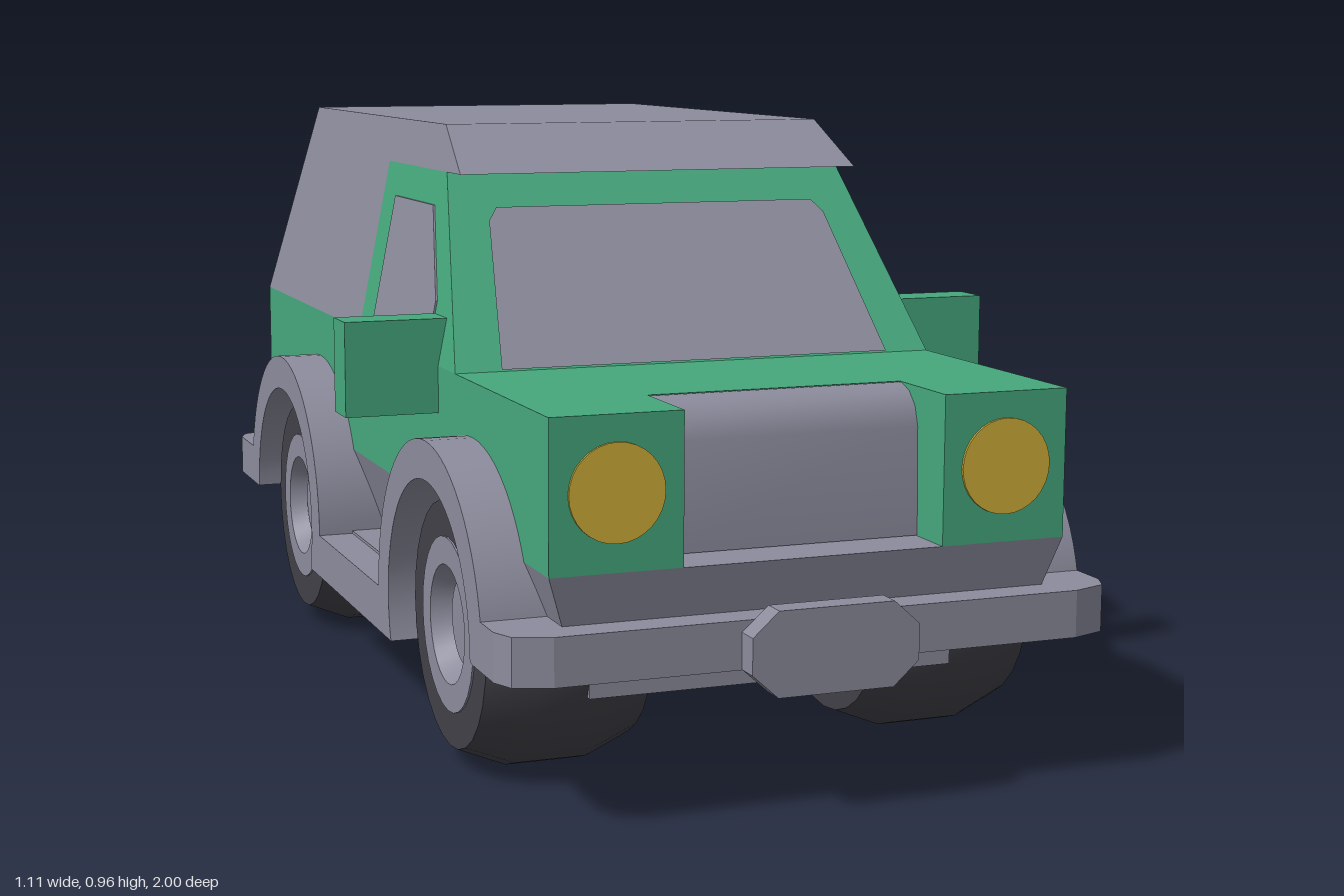
import * as THREE from 'three';
import { toCreasedNormals } from 'three/addons/utils/BufferGeometryUtils.js';

const material = (name, color) => {
  const m = new THREE.MeshStandardMaterial({ color });
  m.name = name;
  return m;
};

export function createModel() {
  const green = material('green paint', 0x46a87d);
  const grey = material('grey trim', 0x8c8c9d);
  const rubber = material('dark rubber', 0x424148);
  const yellow = material('yellow lamp', 0xd2af38);
  const red = material('red lamp', 0xb5453a);

  const car = new THREE.Group();
  car.name = 'offRoadCar';
  const add = (name, geometry, mat, parent = car) => {
    const mesh = new THREE.Mesh(geometry, mat);
    mesh.name = name;
    parent.add(mesh);
    return mesh;
  };
  const shapeOf = (pts) => new THREE.Shape(pts.map(([a, b]) => new THREE.Vector2(a, b)));

  // Box given by its limits
  const box = (x0, x1, y0, y1, z0, z1) =>
    new THREE.BoxGeometry(x1 - x0, y1 - y0, z1 - z0)
      .translate((x0 + x1) / 2, (y0 + y1) / 2, (z0 + z1) / 2);

  // Side outline of [z, y] points, swept across the car to a half width that depends on y
  const prism = (pts, halfWidth) => {
    const g = new THREE.ExtrudeGeometry(shapeOf(pts), { depth: 1, bevelEnabled: false });
    g.rotateY(-Math.PI / 2).translate(0.5, 0, 0);
    const p = g.attributes.position;
    for (let i = 0; i < p.count; i++) p.setX(i, Math.sign(p.getX(i)) * halfWidth(p.getY(i)));
    g.computeVertexNormals();
    return g;
  };
  const cabinWidth = (y) => 0.405 - (y - 0.595) * 0.2;
  const lowerWidth = (y) => 0.405 - (0.37 - y) * 0.33;

  // Body, with a notch at the front for the grille
  add('body', box(-0.405, 0.405, 0.37, 0.595, -0.85, 0.78), green);
  add('lowerBody', prism([[0.925, 0.37], [0.895, 0.225], [-0.82, 0.225], [-0.85, 0.37]], lowerWidth), grey);
  const grille = prism([[0.7, 0.594], [0.785, 0.594], [0.81, 0.585], [0.83, 0.565],
    [0.84, 0.535], [0.845, 0.371], [0.7, 0.371]], () => 0.204);
  add('grille', toCreasedNormals(grille, 0.7), grey);

  // Cabin and roof
  add('cabinFrame', prism([[0.48, 0.595], [0.245, 0.89], [-0.11, 0.89], [-0.11, 0.595]], cabinWidth), green);
  add('roof', prism([[-0.11, 0.595], [-0.11, 0.89], [0.32, 0.89], [0.19, 0.965],
    [-0.7, 0.965], [-0.85, 0.595]], cabinWidth), grey);
  add('sideWindows', prism([[0.32, 0.6], [0.32, 0.69], [0.21, 0.835], [-0.025, 0.835], [-0.025, 0.6]],
    (y) => cabinWidth(y) + 0.003), grey);

  // Windscreen laid on the sloping front of the cabin
  const glass = new THREE.ShapeGeometry(shapeOf([[-0.33, 0.598], [0.33, 0.598], [0.295, 0.815],
    [0.278, 0.835], [-0.278, 0.835], [-0.295, 0.815]]));
  const gp = glass.attributes.position;
  for (let i = 0; i < gp.count; i++) gp.setZ(i, 0.484 - (gp.getY(i) - 0.595) * 0.797);
  glass.computeVertexNormals();
  add('windscreen', glass, grey);

  // Chassis
  add('chassis', box(-0.295, 0.295, 0.15, 0.24, -0.63, 0.785), grey);
  add('floor', box(-0.42, 0.42, 0.15, 0.23, -0.19, 0.35), grey);

  // Wheel arches joined by a sill, one outline for each side
  const wheelZ = [0.57, -0.41], wheelY = 0.225, inner = 0.224, outer = 0.285;
  const arch = new THREE.Shape();
  const drop = 0.075, a = Math.asin(drop / inner), reach = inner * Math.cos(a);
  arch.moveTo(wheelZ[0] + outer, wheelY);
  arch.absarc(wheelZ[0], wheelY, outer, 0, Math.PI, false);
  arch.absarc(wheelZ[1], wheelY, outer, 0, Math.PI, false);
  arch.lineTo(wheelZ[1] - inner, wheelY);
  arch.absarc(wheelZ[1], wheelY, inner, Math.PI, -a, true);
  arch.lineTo(wheelZ[0] - reach, wheelY - drop);
  arch.absarc(wheelZ[0], wheelY, inner, Math.PI + a, 0, true);
  const archGeometry = toCreasedNormals(
    new THREE.ExtrudeGeometry(arch, { depth: 0.12, bevelEnabled: false, curveSegments: 16 })
      .rotateY(-Math.PI / 2).translate(0.06, 0, 0), 0.5);

  // Wheel profiles: radius against distance along the axle
  const lathe = (pts) => toCreasedNormals(
    new THREE.LatheGeometry(pts.map(([r, h]) => new THREE.Vector2(r, h)), 28), 0.6);
  const tyreGeometry = lathe([[0, -0.13], [0.19, -0.13], [0.22, -0.057], [0.22, 0.057], [0.19, 0.13], [0.13, 0.13]]);
  const rimGeometry = lathe([[0.135, 0.125], [0.135, 0.133], [0.092, 0.133], [0.075, 0.095],
    [0.068, 0.105], [0, 0.105]]);
  const wheel = (name, x, y, z) => {
    const g = new THREE.Group();
    g.name = name;
    g.position.set(x, y, z);
    add('tyre', tyreGeometry, rubber, g);
    add('rim', rimGeometry, grey, g);
    car.add(g);
    return g;
  };

  // Parts on both sides
  for (const [side, s] of [['left', 1], ['right', -1]]) {
    const span = (x0, x1, ...rest) => box(Math.min(s * x0, s * x1), Math.max(s * x0, s * x1), ...rest);
    add(side + 'WheelArches', archGeometry, grey).position.x = s * 0.42;
    wheelZ.forEach((z, i) => {
      wheel(side + (i ? 'RearWheel' : 'FrontWheel'), s * 0.315, wheelY, z).rotation.z = -s * Math.PI / 2;
    });
    add(side + 'FrontWing', span(0.204, 0.405, 0.37, 0.595, 0.78, 0.925), green);
    add(side + 'Headlight', new THREE.CylinderGeometry(0.072, 0.072, 0.008, 32)
      .rotateX(Math.PI / 2).translate(s * 0.305, 0.484, 0.925), yellow);
    add(side + 'TailLight', span(0.337, 0.404, 0.38, 0.515, -0.854, -0.848), red);
    add(side + 'MirrorHousing', span(0.38, 0.555, 0.52, 0.67, 0.316, 0.386), green);
    add(side + 'MirrorGlass', span(0.41, 0.553, 0.522, 0.668, 0.312, 0.317), grey);
  }

  // Bumpers with cut corners, and the eight-sided plate on each
  const bumper = (end, back) => {
    const d = Math.sign(end);
    const pts = [[-0.48, back], [0.48, back], [0.48, end - d * 0.055], [0.465, end - d * 0.02],
      [0.41, end], [-0.41, end], [-0.465, end - d * 0.02], [-0.48, end - d * 0.055]];
    return new THREE.ExtrudeGeometry(shapeOf(pts.map(([x, z]) => [x, -z])),
      { depth: 0.072, bevelEnabled: false }).rotateX(-Math.PI / 2).translate(0, 0.224, 0);
  };
  const plate = (y, z) => new THREE.ExtrudeGeometry(
    shapeOf([[-0.09, -0.063], [0.09, -0.063], [0.13, -0.027], [0.13, 0.027],
      [0.09, 0.063], [-0.09, 0.063], [-0.13, 0.027], [-0.13, -0.027]]),
    { depth: 0.038, bevelEnabled: false }).translate(0, y, z);
  add('frontBumper', bumper(0.962, 0.8), grey);
  add('rearBumper', bumper(-0.853, -0.64), grey);
  add('frontPlate', plate(0.252, 0.962), grey);
  add('rearPlate', plate(0.228, -0.887), grey);

  // Spare wheel on the tail
  wheel('spareWheel', 0, 0.52, -0.868).rotation.x = -Math.PI / 2;

  return car;
}
